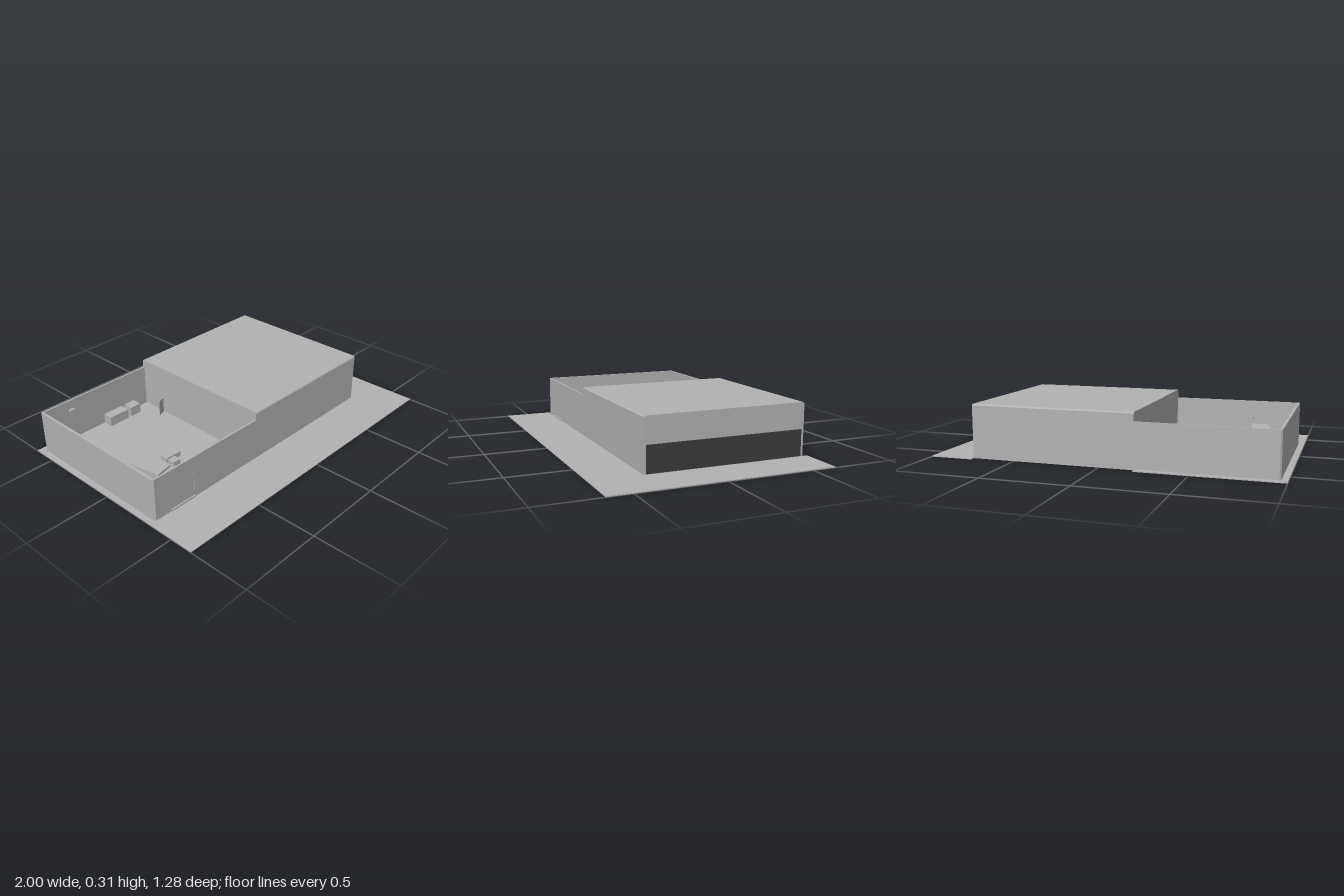
import * as THREE from 'three';

export function createModel() {
  const model = new THREE.Group();
  model.name = 'warehouseYard';
  const concrete = new THREE.MeshStandardMaterial({ color: 0xb2b2b2 });
  concrete.name = 'concreteGrey';
  const dark = new THREE.MeshStandardMaterial({ color: 0x3b3b3b });
  dark.name = 'doorCharcoal';

  const add = (name, geometry, material = concrete) => {
    const mesh = new THREE.Mesh(geometry, material);
    mesh.name = name;
    model.add(mesh);
    return mesh;
  };
  // Box given by its limits on each axis
  const block = (name, [x0, x1], [y0, y1], [z0, z1], material) => {
    const mesh = add(name, new THREE.BoxGeometry(x1 - x0, y1 - y0, z1 - z0), material);
    mesh.position.set((x0 + x1) / 2, (y0 + y1) / 2, (z0 + z1) / 2);
    return mesh;
  };
  // Plan outline in (x, z), extruded upward from y0 to y1
  const plan = (name, points, y0, y1) => {
    const shape = new THREE.Shape(points.map(([x, z]) => new THREE.Vector2(x, -z)));
    const geometry = new THREE.ExtrudeGeometry(shape, { depth: y1 - y0, bevelEnabled: false });
    geometry.rotateX(-Math.PI / 2);
    geometry.translate(0, y0, 0);
    return add(name, geometry);
  };

  // Ground plate, notched behind the hall
  const floor = 0.005;
  plan('groundPlate', [
    [-1, 0.64], [1, 0.64], [1, -0.64], [0.745, -0.64],
    [0.745, -0.6], [-0.2, -0.6], [-0.2, -0.64], [-1, -0.64],
  ], 0, floor);

  // Hall with bevelled roof edges, a profile in (z, y) swept along x
  const profile = new THREE.Shape([
    [0.345, 0], [0.345, 0.302], [0.338, 0.31], [-0.597, 0.31], [-0.605, 0.302], [-0.605, 0],
  ].map(([z, y]) => new THREE.Vector2(-z, y)));
  const hall = new THREE.ExtrudeGeometry(profile, { depth: 0.948, bevelEnabled: false });
  hall.rotateY(Math.PI / 2);
  hall.translate(-0.198, 0, 0);
  add('hall', hall);
  block('loadingDoor', [0.749, 0.753], [0.008, 0.16], [-0.59, 0.333], dark);

  // Yard walls with chamfered outer corners and a gap for the gate
  const [gateLeft, gateRight, gateTop] = [-0.85, -0.683, 0.17];
  plan('yardWall', [
    [-0.198, -0.605], [-0.957, -0.605], [-0.965, -0.597], [-0.965, 0.337], [-0.957, 0.345],
    [gateLeft, 0.345], [gateLeft, 0.334], [-0.949, 0.334], [-0.949, -0.594], [-0.198, -0.594],
  ], 0, 0.26);
  block('frontWall', [gateRight, -0.198], [0, 0.26], [0.334, 0.345]);
  block('gateLintel', [gateLeft, gateRight], [gateTop, 0.26], [0.334, 0.345]);
  block('gatePanel', [gateLeft, gateRight], [0, gateTop], [0.337, 0.342]);
  block('gateSill', [gateLeft, gateRight], [0, 0.015], [0.334, 0.35]);

  // Parked truck: trailer and cab at a slant
  for (const [name, w, h, l, x, z] of [
    ['truckTrailer', 0.11, 0.13, 0.315, -0.777, 0.03],
    ['truckCab', 0.09, 0.12, 0.105, -0.735, 0.238],
  ]) {
    const part = add(name, new THREE.BoxGeometry(w, h, l));
    part.position.set(x, floor + h / 2, z);
    part.rotation.y = 0.185;
  }

  // Crates, bins and bench standing in the yard: x range, height, z range
  for (const [name, xs, h, zs] of [
    ['crate', [-0.575, -0.525], 0.03, [-0.04, 0.01]],
    ['crate', [-0.52, -0.47], 0.03, [-0.04, 0.01]],
    ['crate', [-0.575, -0.525], 0.03, [0.02, 0.067]],
    ['container', [-0.342, -0.232], 0.05, [0.15, 0.203]],
    ['largeBin', [-0.54, -0.403], 0.06, [-0.594, -0.53]],
    ['smallBin', [-0.38, -0.305], 0.06, [-0.594, -0.53]],
    ['bench', [-0.949, -0.885], 0.05, [-0.02, 0.11]],
  ]) block(name, xs, [floor, floor + h], zs);

  // Lamp on the back wall and open side door of the hall
  block('wallLamp', [-0.785, -0.755], [0.19, 0.205], [-0.594, -0.577]);
  const leaf = add('sideDoor', new THREE.BoxGeometry(0.06, 0.1, 0.004));
  leaf.position.set(-0.227, floor + 0.05, -0.418);
  leaf.rotation.y = 0.42;

  return model;
}
